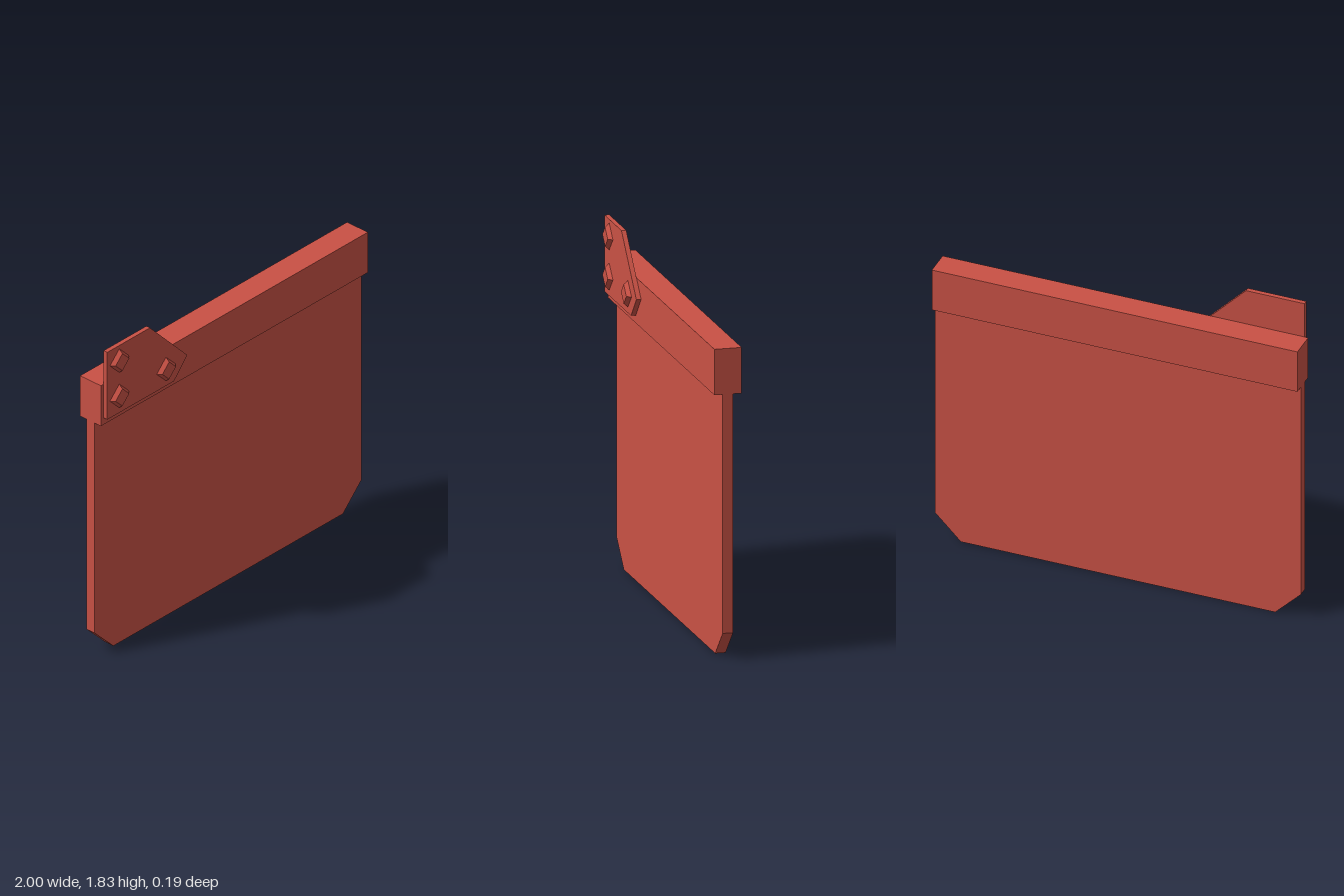
import * as THREE from 'three';

const red = new THREE.MeshStandardMaterial({ color: 0xc95145 });
red.name = 'brick red';
red.flatShading = true;

// Flat outline in x/y, extruded from z0 to z1
function slab(name, points, z0, z1) {
  const shape = new THREE.Shape(points.map(([x, y]) => new THREE.Vector2(x, y)));
  const geometry = new THREE.ExtrudeGeometry(shape, { depth: z1 - z0, bevelEnabled: false });
  geometry.translate(0, 0, z0);
  const mesh = new THREE.Mesh(geometry, red);
  mesh.name = name;
  return mesh;
}

export function createModel() {
  const model = new THREE.Group();
  model.name = 'hangingPanel';

  // Thin panel with clipped lower corners
  model.add(slab('panel', [
    [-0.86, 0], [0.86, 0], [1, 0.14], [1, 1.39], [-1, 1.39], [-1, 0.14],
  ], -0.05, 0.005));

  // Thick rail along the top
  const rail = new THREE.Mesh(new THREE.BoxGeometry(2, 0.24, 0.143), red);
  rail.name = 'topRail';
  rail.position.set(0, 1.51, -0.0235);
  model.add(rail);

  // Corner bracket on the front of the rail
  model.add(slab('bracketPlate', [
    [-0.98, 1.43], [-0.48, 1.43], [-0.38, 1.54], [-0.66, 1.83], [-0.98, 1.83],
  ], 0.048, 0.073));

  // Tapered diamond studs
  const studGeometry = new THREE.CylinderGeometry(0.051, 0.07, 0.022, 4);
  studGeometry.rotateX(Math.PI / 2);
  [[-0.89, 1.74], [-0.89, 1.53], [-0.54, 1.53]].forEach(([x, y], i) => {
    const stud = new THREE.Mesh(studGeometry, red);
    stud.name = `stud${i + 1}`;
    stud.position.set(x, y, 0.084);
    model.add(stud);
  });

  return model;
}
